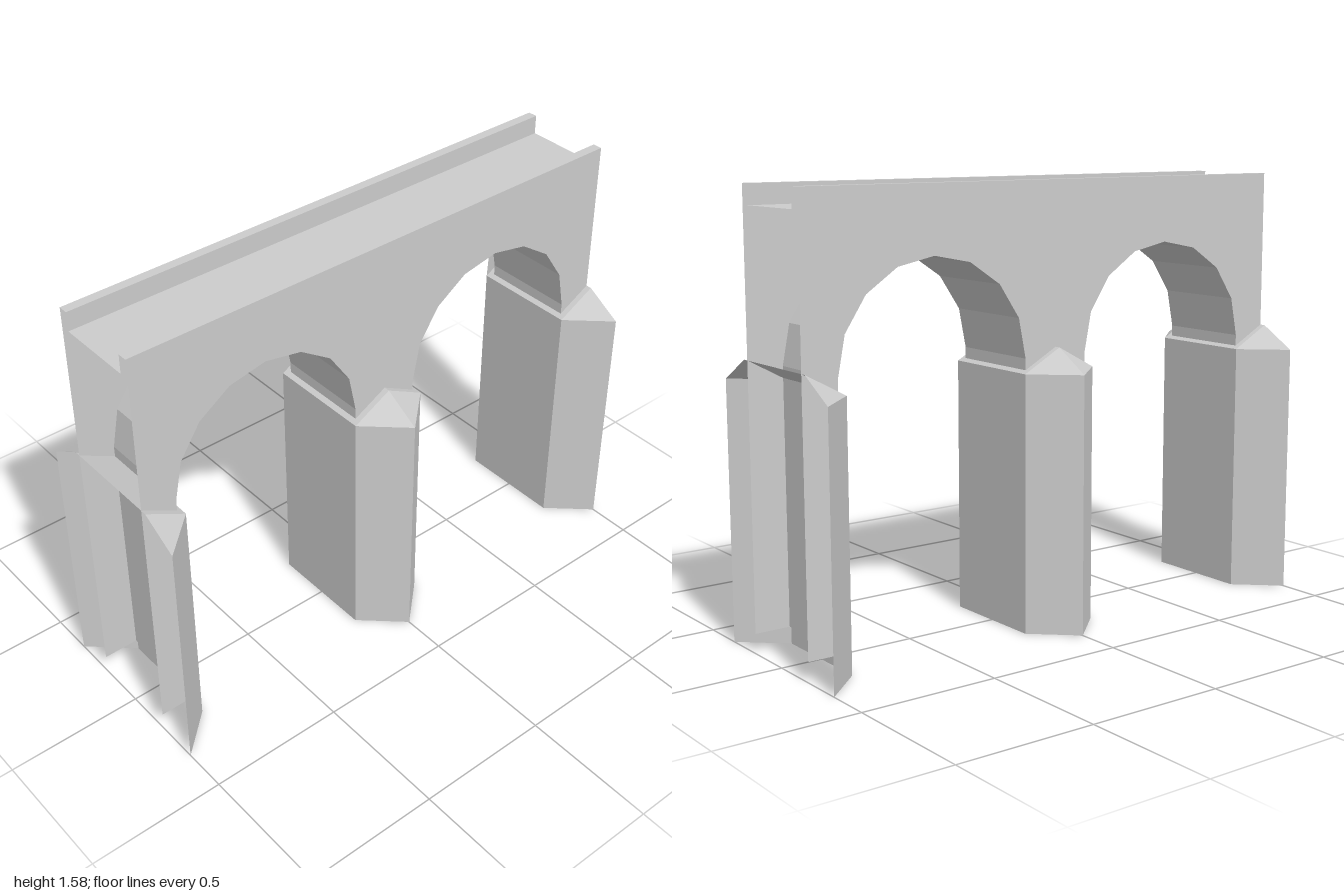
import * as THREE from 'three';

const material = new THREE.MeshStandardMaterial({ color: 0xcccccc, flatShading: true, side: THREE.DoubleSide });

const TOP = 1.575, FLOOR = 1.505;          // parapet top and channel floor
const WALL = 0.178, PARAPET = 0.143;       // outer and inner half widths of the deck
const R = 0.37, SPRING = 0.97, FOOT = 0.07; // arch radius, springing height, hidden leg foot

// Joins rows of points into an open sheet of flat facets
function loft(name, rows) {
  const out = [];
  const tri = (...pts) => {
    if (new THREE.Triangle(...pts).getArea() > 1e-7) pts.forEach((p) => out.push(p.x, p.y, p.z));
  };
  for (let r = 0; r + 1 < rows.length; r++) {
    const a = rows[r], b = rows[r + 1];
    for (let i = 0; i + 1 < a.length; i++) {
      tri(a[i], b[i], b[i + 1]);
      tri(a[i], b[i + 1], a[i + 1]);
    }
  }
  const geometry = new THREE.BufferGeometry();
  geometry.setAttribute('position', new THREE.Float32BufferAttribute(out, 3));
  geometry.computeVertexNormals();
  const mesh = new THREE.Mesh(geometry, material);
  mesh.name = name;
  return mesh;
}

// Arch outline from the left foot over the crown to the right foot
function archPath(cx) {
  const pts = [new THREE.Vector2(cx - R, FOOT)];
  for (let i = 0; i <= 8; i++) {
    const t = Math.PI * (1 - i / 8);
    pts.push(new THREE.Vector2(cx + R * Math.cos(t), SPRING + R * Math.sin(t)));
  }
  pts.push(new THREE.Vector2(cx + R, FOOT));
  return pts;
}

// Pointed half pier with its sloped cap, on one side (s = 1 or -1) of its centre line
function halfPier(x, s) {
  const plan = [[0, -0.337], [0.148, -0.2], [0.148, 0.2], [0, 0.337]];
  if (s < 0) plan.reverse();
  const row = (y) => plan.map(([px, pz]) => new THREE.Vector3(x + s * px, y, pz));
  const ridge = plan.map(([, pz]) => new THREE.Vector3(x, 1, Math.sign(pz) * 0.2));
  const group = new THREE.Group();
  group.name = 'pier';
  group.add(loft('pierWalls', [row(0), row(0.92)]), loft('pierCap', [row(0.92), ridge]));
  return group;
}

export function createModel() {
  const model = new THREE.Group();
  model.name = 'archedBridge';
  const arches = [archPath(-0.5), archPath(0.5)];

  // Side walls with both arches cut out
  const outline = new THREE.Shape([
    new THREE.Vector2(-1, FOOT), ...arches[0], ...arches[1],
    new THREE.Vector2(1, FOOT), new THREE.Vector2(1, TOP), new THREE.Vector2(-1, TOP),
  ]);
  for (const s of [1, -1]) {
    const wall = new THREE.Mesh(new THREE.ShapeGeometry(outline), material);
    wall.name = s > 0 ? 'frontWall' : 'backWall';
    wall.position.z = s * WALL;
    if (s < 0) wall.rotation.y = Math.PI; // outline is symmetric
    model.add(wall);
  }

  // Arch undersides, continuing down inside the piers
  for (const path of arches) {
    model.add(loft('archUnderside', [WALL, -WALL].map((z) => path.map((p) => new THREE.Vector3(p.x, p.y, z)))));
  }

  // Channel deck between two parapets
  const profile = [[WALL, TOP], [PARAPET, TOP], [PARAPET, FLOOR], [-PARAPET, FLOOR], [-PARAPET, TOP], [-WALL, TOP]];
  model.add(loft('deck', [-1, 1].map((x) => profile.map(([z, y]) => new THREE.Vector3(x, y, z)))));

  // Half piers at the ends, a whole one in the middle
  for (const [x, s] of [[-1, 1], [0, -1], [0, 1], [1, -1]]) model.add(halfPier(x, s));
  return model;
}
